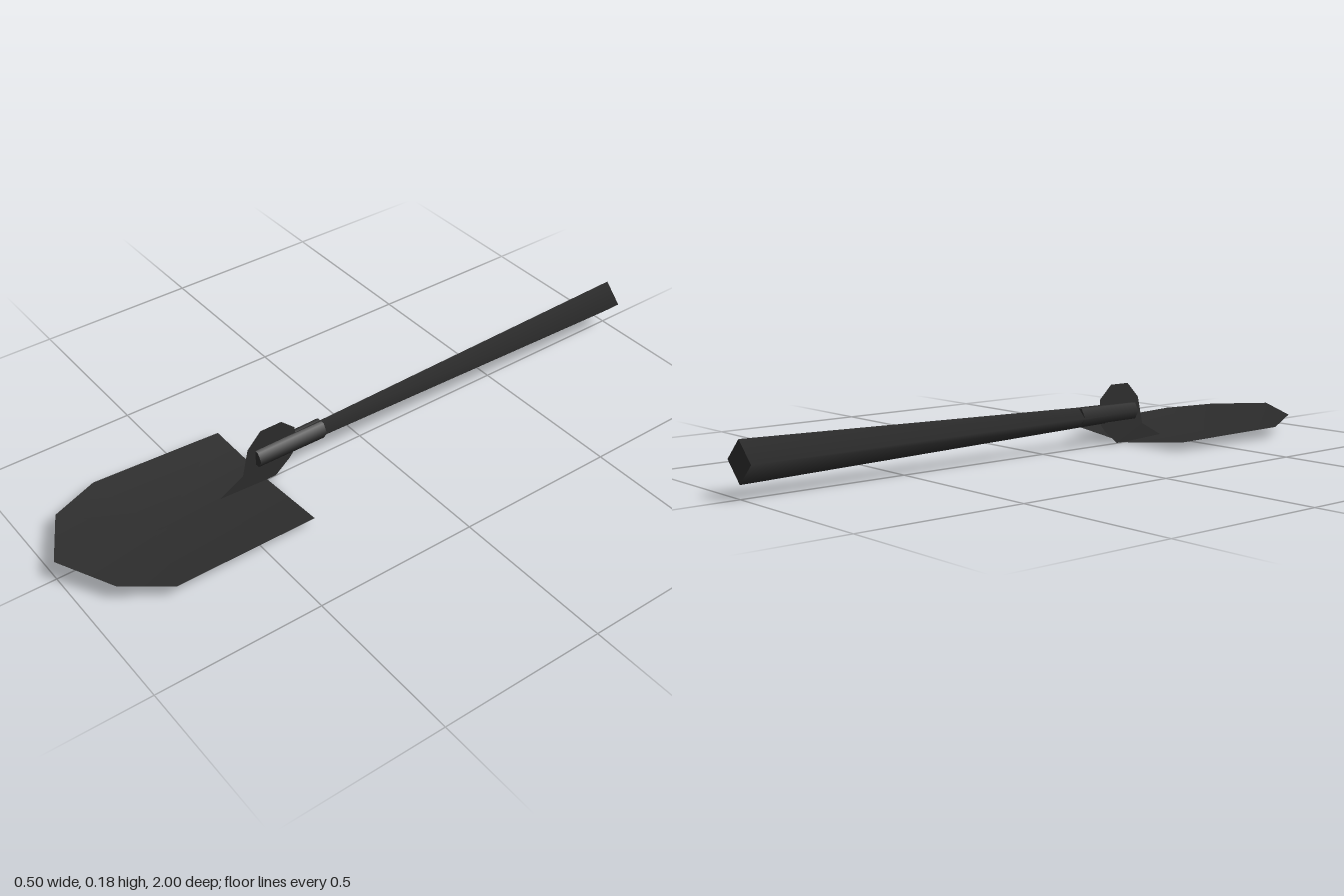
import * as THREE from 'three';

export function createModel() {
  const model = new THREE.Group();
  const iron = new THREE.MeshStandardMaterial({ color: 0x2d2d2d, side: THREE.DoubleSide });
  iron.name = 'dark iron';

  const add = (name, geometry) => {
    const mesh = new THREE.Mesh(geometry, iron);
    mesh.name = name;
    model.add(mesh);
  };

  // Tapered rod lying along z, between two depths
  const rod = (rFront, rBack, zBack, zFront, sides, y) =>
    new THREE.CylinderGeometry(rFront, rBack, zFront - zBack, sides, 1, false, Math.PI / 2)
      .rotateX(Math.PI / 2)
      .translate(0, y, (zFront + zBack) / 2);

  add('handle', rod(0.028, 0.058, -1, 0.25, 4, 0.098));
  add('socket', rod(0.028, 0.03, 0.14, 0.365, 6, 0.1));

  // Dished blade: rim points fanned around the low middle of the spine
  const rim = [
    [0, 0.003, 0.33], [-0.235, 0.03, 0.345], [-0.25, 0.037, 0.75], [-0.175, 0.053, 0.905],
    [0, 0.065, 1], [0.165, 0.053, 0.91], [0.25, 0.042, 0.78], [0.24, 0.03, 0.335],
  ];
  const index = [];
  rim.forEach((_, i) => index.push(0, i + 1, ((i + 1) % rim.length) + 1));
  const blade = new THREE.BufferGeometry();
  blade.setAttribute('position',
    new THREE.Float32BufferAttribute([0, 0.003, 0.68, ...rim.flat()], 3));
  blade.setIndex(index);
  blade.computeVertexNormals();
  add('blade', blade);

  // Upright hinge plate in the middle plane, drawn as (z, y)
  const outline = [
    [0.3, 0.004], [0.335, 0.004], [0.49, 0.012], [0.41, 0.055], [0.39, 0.14], [0.345, 0.186],
    [0.275, 0.186], [0.23, 0.145], [0.23, 0.07], [0.25, 0.045],
  ].map(([z, y]) => new THREE.Vector2(z, y));
  add('hingePlate', new THREE.ShapeGeometry(new THREE.Shape(outline)).rotateY(-Math.PI / 2));

  return model;
}
